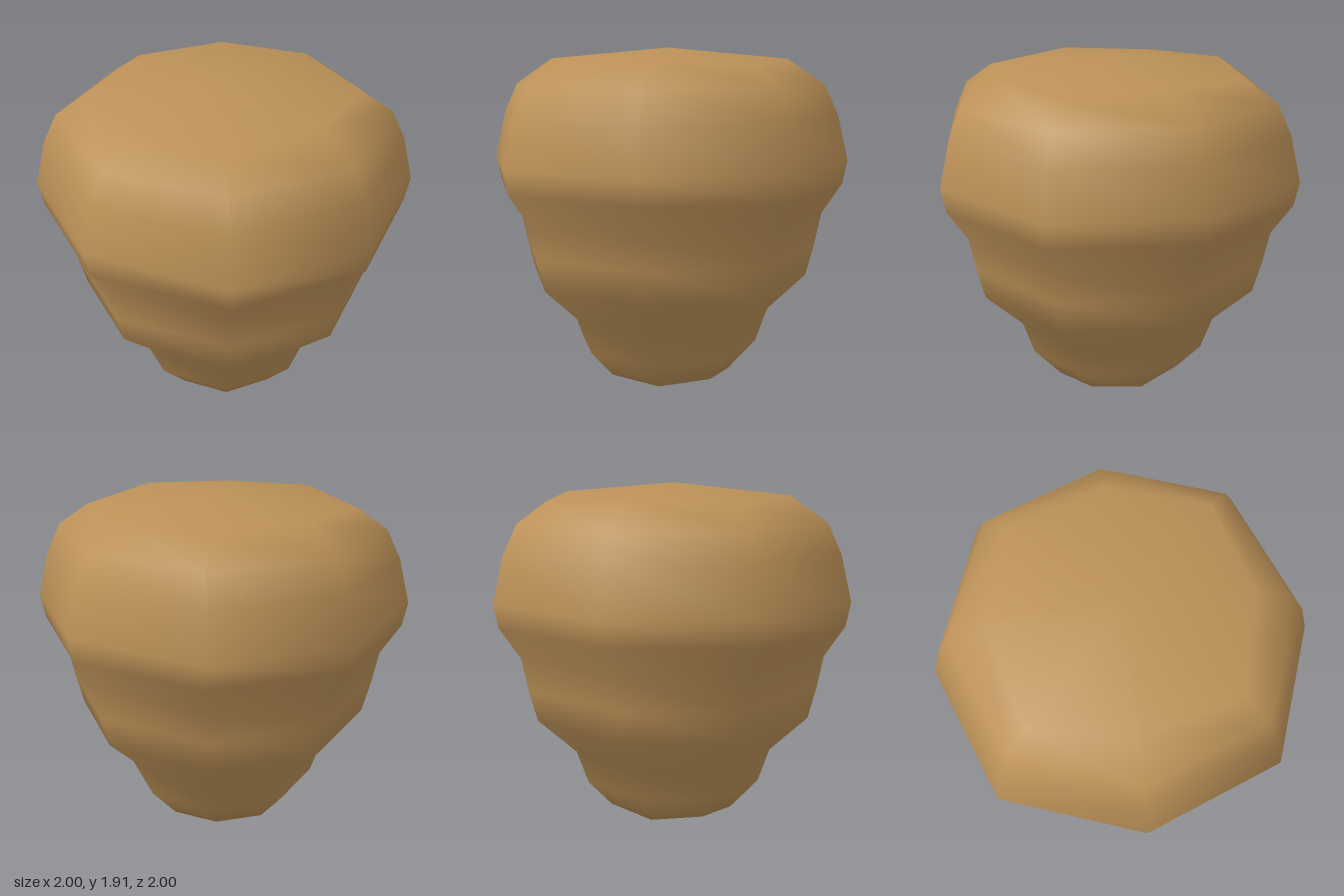
import * as THREE from 'three';
import { mergeVertices } from 'three/addons/utils/BufferGeometryUtils.js';

// [radius, height] from the bottom tip to the top tip
const PROFILE = [
  [0, 0], [0.35, 0.07], [0.51, 0.25], [0.575, 0.44], [0.785, 0.645], [0.83, 0.82],
  [0.865, 1.0], [0.975, 1.17], [1, 1.3], [0.94, 1.55], [0.865, 1.71], [0.66, 1.85], [0, 1.91],
];
const SIDES = 8;

export function createModel() {
  const group = new THREE.Group();
  const clay = new THREE.MeshStandardMaterial({ color: 0xbc9157 });
  clay.name = 'ochre clay';

  const lathe = new THREE.LatheGeometry(PROFILE.map(([r, y]) => new THREE.Vector2(r, y)), SIDES);
  const pos = lathe.attributes.position;
  const last = PROFILE.length - 1;

  // The four diagonal edges bulge outwards, most at the two end rings, which also dip inwards
  for (let i = 0; i < pos.count; i++) {
    const side = Math.floor(i / PROFILE.length);
    const row = i % PROFILE.length;
    if (side % 2 === 0 || row === 0 || row === last) continue;
    const bottomRing = row === 1, topRing = row === last - 1;
    const bulge = bottomRing || topRing ? 1.11 : 1.03;
    const shift = bottomRing ? 0.03 : topRing ? -0.03 : 0;
    pos.setXYZ(i, pos.getX(i) * bulge, pos.getY(i) + shift, pos.getZ(i) * bulge);
  }

  // Weld the seam and tips so the shading is smooth all over
  lathe.deleteAttribute('normal');
  lathe.deleteAttribute('uv');
  const geometry = mergeVertices(lathe, 1e-4);
  geometry.computeVertexNormals();

  const body = new THREE.Mesh(geometry, clay);
  body.name = 'body';
  group.add(body);
  return group;
}
